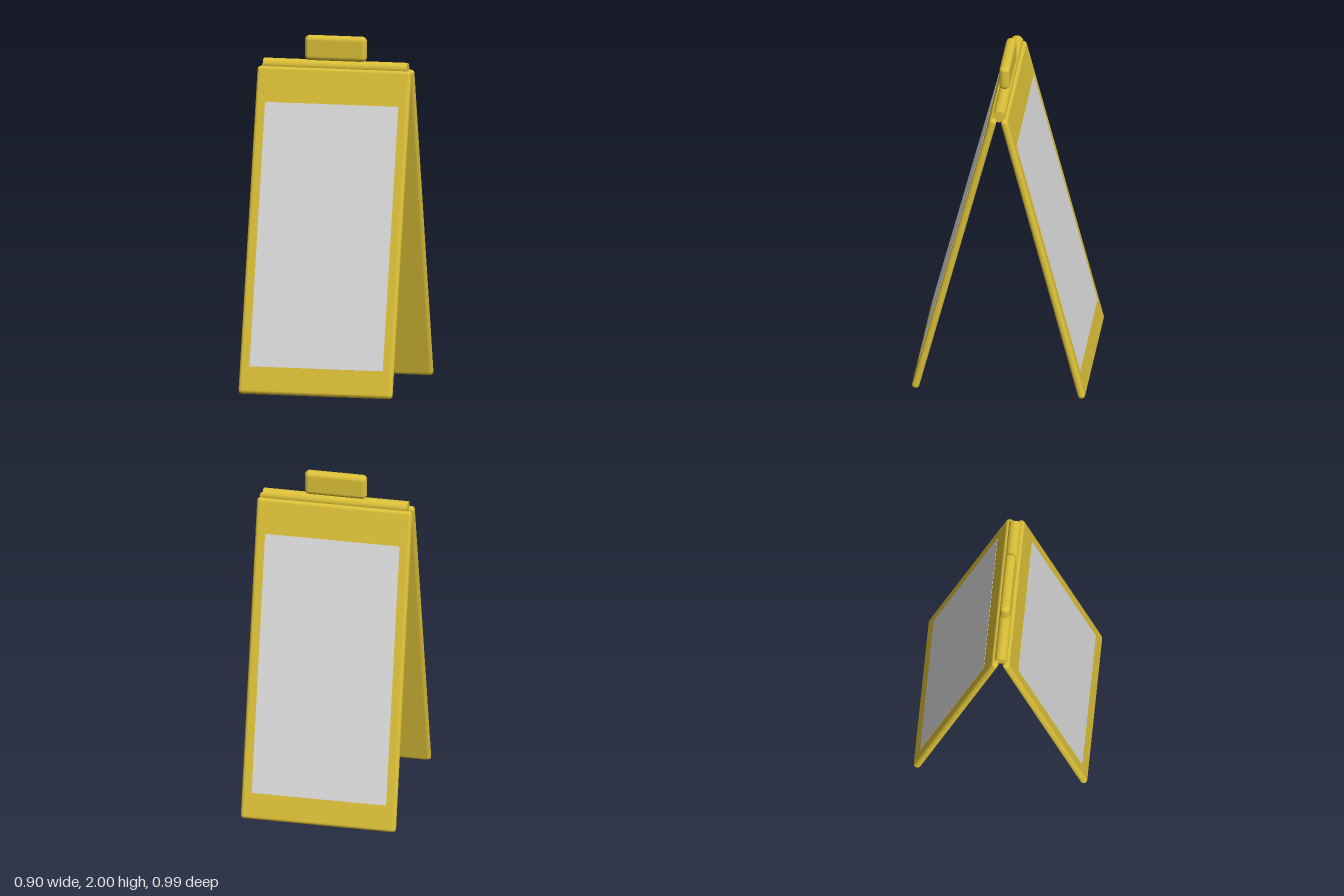
import * as THREE from 'three';
import { RoundedBoxGeometry } from 'three/addons/geometries/RoundedBoxGeometry.js';

const TILT = 0.243;

export function createModel() {
  const model = new THREE.Group();
  model.name = 'foldingFloorSign';

  const yellow = new THREE.MeshStandardMaterial({ name: 'yellow plastic', color: 0xdcc038 });
  const paper = new THREE.MeshStandardMaterial({ name: 'pale poster', color: 0xdcdcdc });

  const add = (parent, name, geometry, material, x = 0, y = 0, z = 0) => {
    const mesh = new THREE.Mesh(geometry, material);
    mesh.name = name;
    mesh.position.set(x, y, z);
    parent.add(mesh);
    return mesh;
  };

  // Two leaning boards, each with a poster on its outer face
  const boardGeometry = new RoundedBoxGeometry(0.9, 1.87, 0.042, 4, 0.02);
  const posterGeometry = new THREE.BoxGeometry(0.78, 1.509, 0.004);
  for (const [name, turn] of [['front', 0], ['back', Math.PI]]) {
    const side = new THREE.Group();
    side.name = name + 'Side';
    side.rotation.y = turn;

    const leaf = new THREE.Group();
    leaf.name = name + 'Leaf';
    leaf.position.set(0, 0.908, 0.2535);
    leaf.rotation.x = -TILT;
    add(leaf, name + 'Board', boardGeometry, yellow);
    add(leaf, name + 'Poster', posterGeometry, paper, 0, -0.025, 0.0205);

    side.add(leaf);
    model.add(side);
  }

  // Hinge rod along the top
  const hinge = add(model, 'hinge', new THREE.CylinderGeometry(0.035, 0.035, 0.84, 32), yellow, 0, 1.825, 0);
  hinge.rotation.z = Math.PI / 2;

  // Carrying handle
  add(model, 'handle', new RoundedBoxGeometry(0.36, 0.145, 0.06, 5, 0.028), yellow, 0, 1.9275, 0);

  return model;
}
